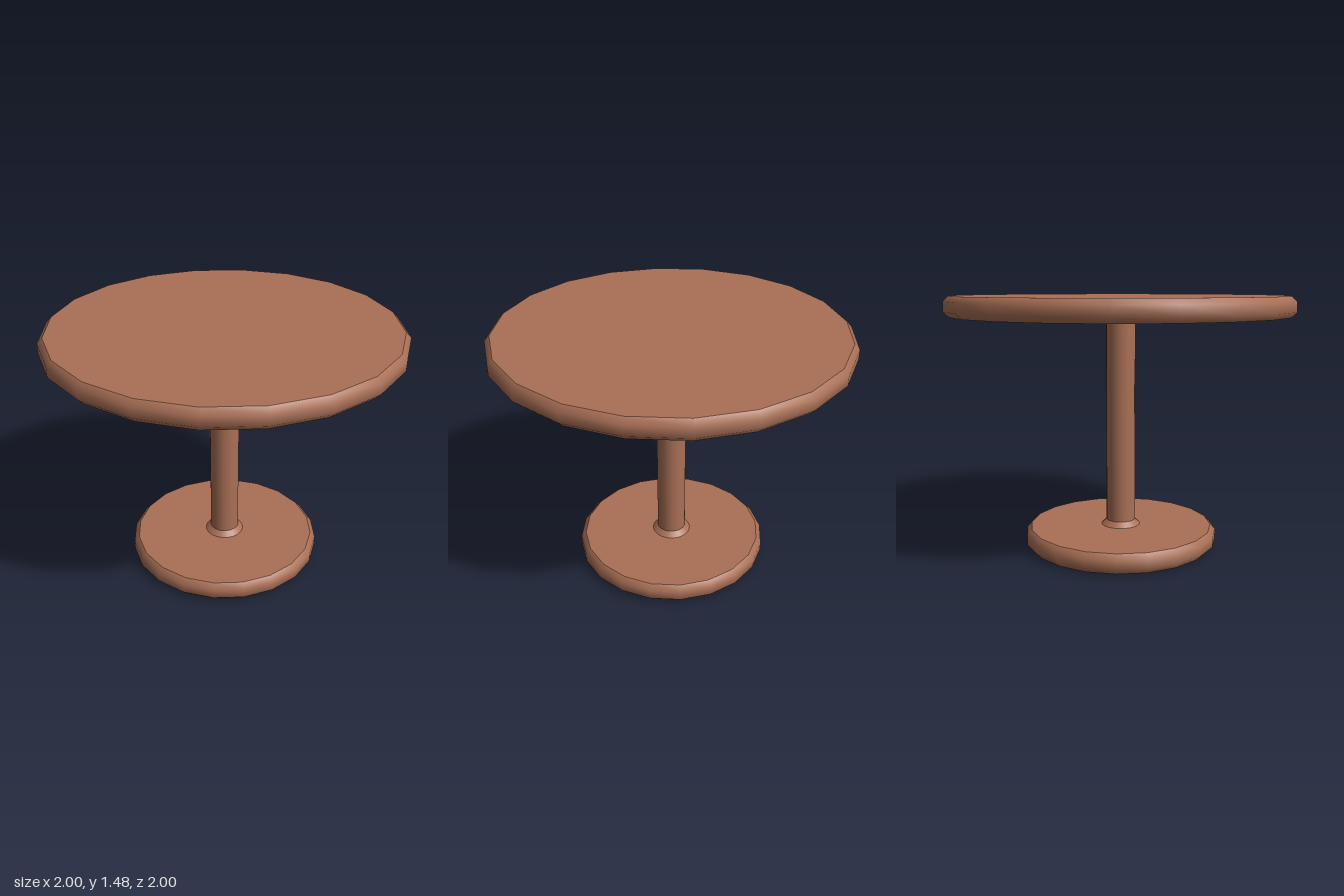
import * as THREE from 'three';

const SIDES = 20;

export function createModel() {
  const group = new THREE.Group();
  const wood = new THREE.MeshStandardMaterial({ color: 0xaa7056 });
  wood.name = 'wood';

  const add = (parent, name, geometry) => {
    const mesh = new THREE.Mesh(geometry, wood);
    mesh.name = name;
    parent.add(mesh);
    return mesh;
  };
  // Smooth turned surface; profile runs from bottom to top
  const turned = (points) =>
    new THREE.LatheGeometry(points.map(([r, y]) => new THREE.Vector2(r, y)), SIDES);

  // Round slab with a smooth bevelled rim and flat faces
  const slab = (name, radius, bottom, top, bevel) => {
    const part = new THREE.Group();
    part.name = name;
    const inner = radius - bevel;
    add(part, name + 'Rim', turned([
      [inner, bottom], [radius, bottom + bevel], [radius, top - bevel], [inner, top],
    ]));
    const upper = add(part, name + 'Upper', new THREE.CircleGeometry(inner, SIDES));
    upper.rotation.x = -Math.PI / 2;
    upper.position.y = top;
    const lower = add(part, name + 'Lower', new THREE.CircleGeometry(inner, SIDES));
    lower.rotation.x = Math.PI / 2;
    lower.position.y = bottom;
    group.add(part);
  };

  slab('tableTop', 1, 1.36, 1.475, 0.03);
  slab('base', 0.57, 0, 0.115, 0.03);

  // Column with a small flared collar where it meets the base
  add(group, 'collar', turned([[0.115, 0.115], [0.085, 0.145]]));
  add(group, 'column', turned([[0.085, 0.145], [0.085, 1.36]]));

  return group;
}
